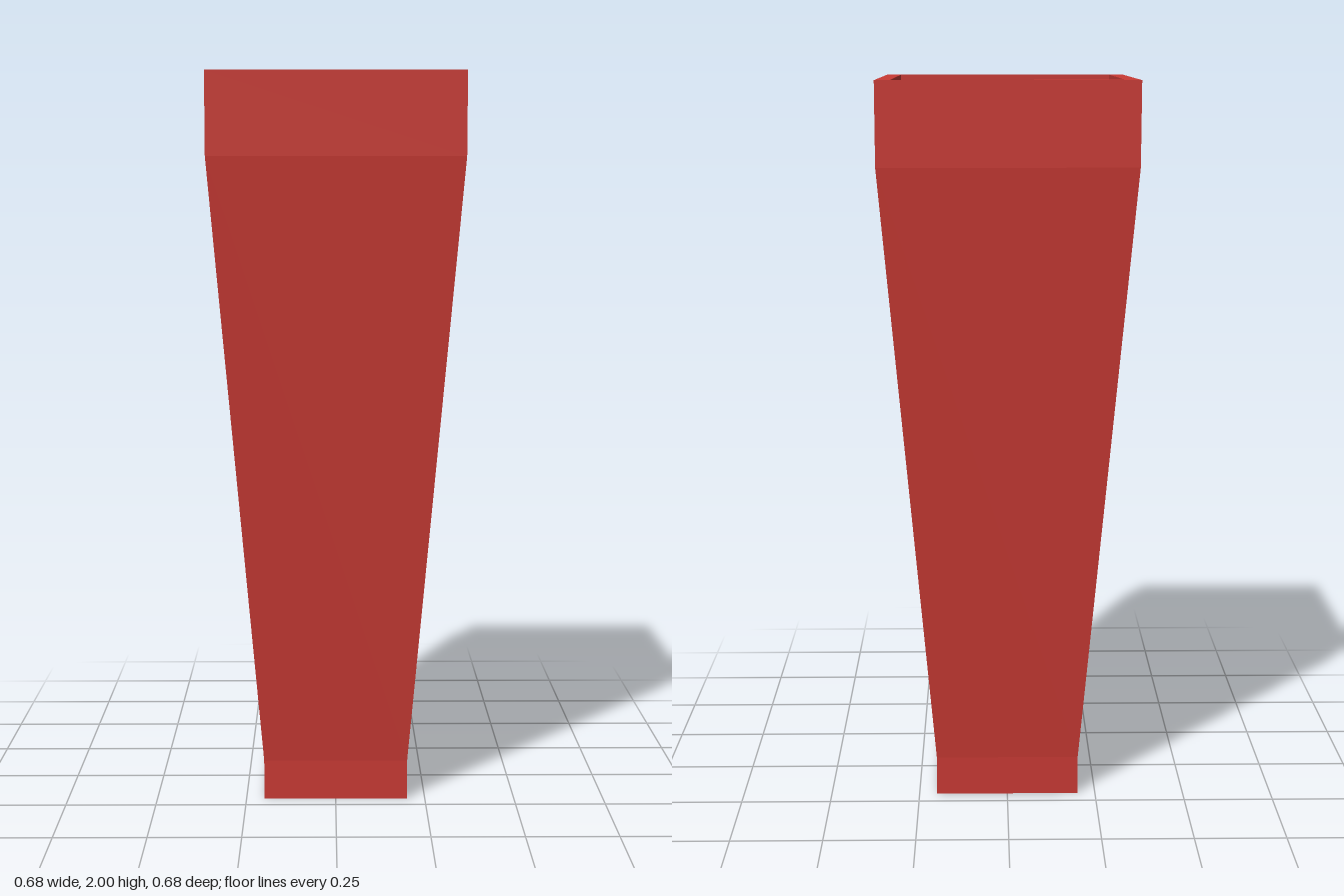
import * as THREE from 'three';

const material = new THREE.MeshStandardMaterial({ color: 0xc93a34, flatShading: true });

// Square shell: a four-sided lathe whose profile gives [half width, height]
function squareShell(name, profile) {
  const points = profile.map(([half, y]) => new THREE.Vector2(half * Math.SQRT2, y));
  const geometry = new THREE.LatheGeometry(points, 4, Math.PI / 4).toNonIndexed();
  geometry.computeVertexNormals();
  const mesh = new THREE.Mesh(geometry, material);
  mesh.name = name;
  return mesh;
}

export function createModel() {
  const wall = 0.04;
  const foot = 0.2, mouth = 0.34;
  const footTop = 0.11, collarBottom = 1.78, height = 2;

  const planter = new THREE.Group();
  planter.name = 'planter';
  planter.add(
    // Underside, straight foot, flared body and straight collar
    squareShell('outerBody', [
      [0, 0], [foot, 0], [foot, footTop], [mouth, collarBottom], [mouth, height],
    ]),
    // Flat rim around the opening
    squareShell('rim', [[mouth, height], [mouth - wall, height]]),
    // Hollow inside, following the outer walls down to the floor
    squareShell('innerWalls', [
      [mouth - wall, height], [mouth - wall, collarBottom],
      [foot - wall, footTop], [foot - wall, wall], [0, wall],
    ]),
  );
  return planter;
}
